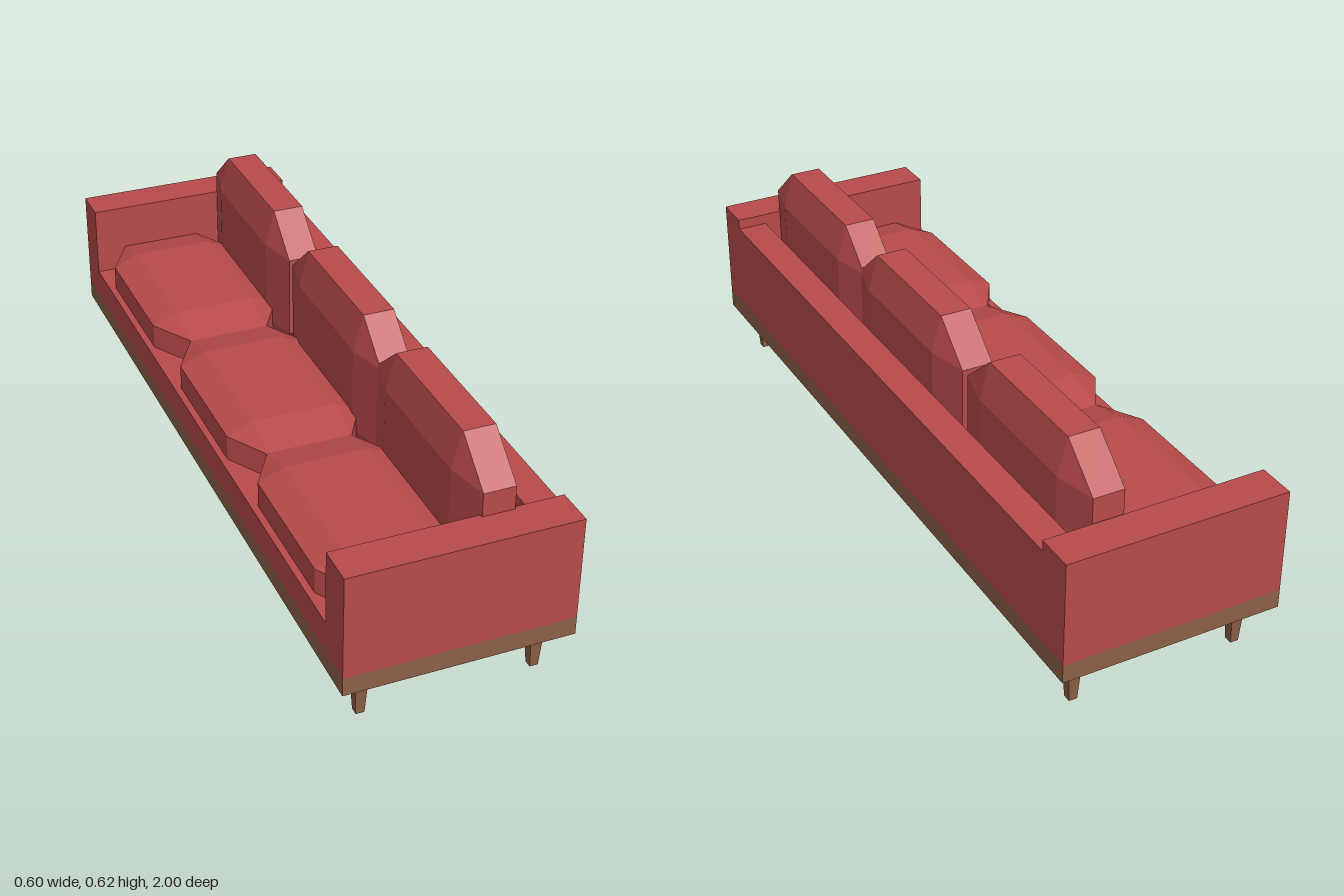
import * as THREE from 'three';
import { ConvexGeometry } from 'three/addons/geometries/ConvexGeometry.js';

// Box with bevelled edges; each axis has its own bevel depth.
function bevelledBox(half, bevel) {
  const points = [];
  for (let face = 0; face < 3; face++) {
    for (const sx of [-1, 1]) for (const sy of [-1, 1]) for (const sz of [-1, 1]) {
      const c = [sx, sy, sz].map((s, i) => s * (half[i] - (i === face ? 0 : bevel[i])));
      points.push(new THREE.Vector3(...c));
    }
  }
  return new ConvexGeometry(points);
}

// Square leg, narrower at the foot
function taperedLeg(top, bottom, height) {
  const leg = new THREE.CylinderGeometry(top / Math.SQRT2, bottom / Math.SQRT2, height, 4).toNonIndexed();
  leg.rotateY(Math.PI / 4);
  leg.computeVertexNormals();
  return leg;
}

export function createModel() {
  const sofa = new THREE.Group();
  sofa.name = 'sofa';
  const fabric = new THREE.MeshStandardMaterial({ color: 0xb84a4a });
  fabric.name = 'red fabric';
  const wood = new THREE.MeshStandardMaterial({ color: 0x8b5f45 });
  wood.name = 'brown wood';

  const add = (name, geometry, material, x, y, z) => {
    const mesh = new THREE.Mesh(geometry, material);
    mesh.name = name;
    mesh.position.set(x, y, z);
    sofa.add(mesh);
  };
  // Box given by its minimum and maximum on each axis
  const block = (name, material, [x0, x1], [y0, y1], [z0, z1]) =>
    add(name, new THREE.BoxGeometry(x1 - x0, y1 - y0, z1 - z0), material,
      (x0 + x1) / 2, (y0 + y1) / 2, (z0 + z1) / 2);

  // Frame: the seat opens towards -x
  const w = 0.298;
  block('woodenBase', wood, [-w, w], [0.124, 0.175], [-1, 1]);
  block('seatPlatform', fabric, [-w, 0.215], [0.175, 0.259], [-0.896, 0.896]);
  block('backrest', fabric, [0.215, w], [0.175, 0.428], [-0.896, 0.896]);
  block('leftArm', fabric, [-w, w], [0.175, 0.457], [0.896, 1]);
  block('rightArm', fabric, [-w, w], [0.175, 0.457], [-1, -0.896]);

  // Loose cushions
  const seat = bevelledBox([0.182, 0.068, 0.303], [0.07, 0.03, 0.118]);
  for (const z of [-0.595, 0.01, 0.602]) add('seatCushion', seat, fabric, -0.098, 0.29, z);
  const back = bevelledBox([0.069, 0.215, 0.3], [0.027, 0.099, 0.115]);
  for (const z of [-0.59, 0.035, 0.605]) add('backCushion', back, fabric, 0.124, 0.405, z);

  // Tapered legs
  const leg = taperedLeg(0.037, 0.022, 0.124);
  for (const x of [-0.226, 0.229]) for (const z of [-0.926, 0.928]) add('leg', leg, wood, x, 0.062, z);

  return sofa;
}
